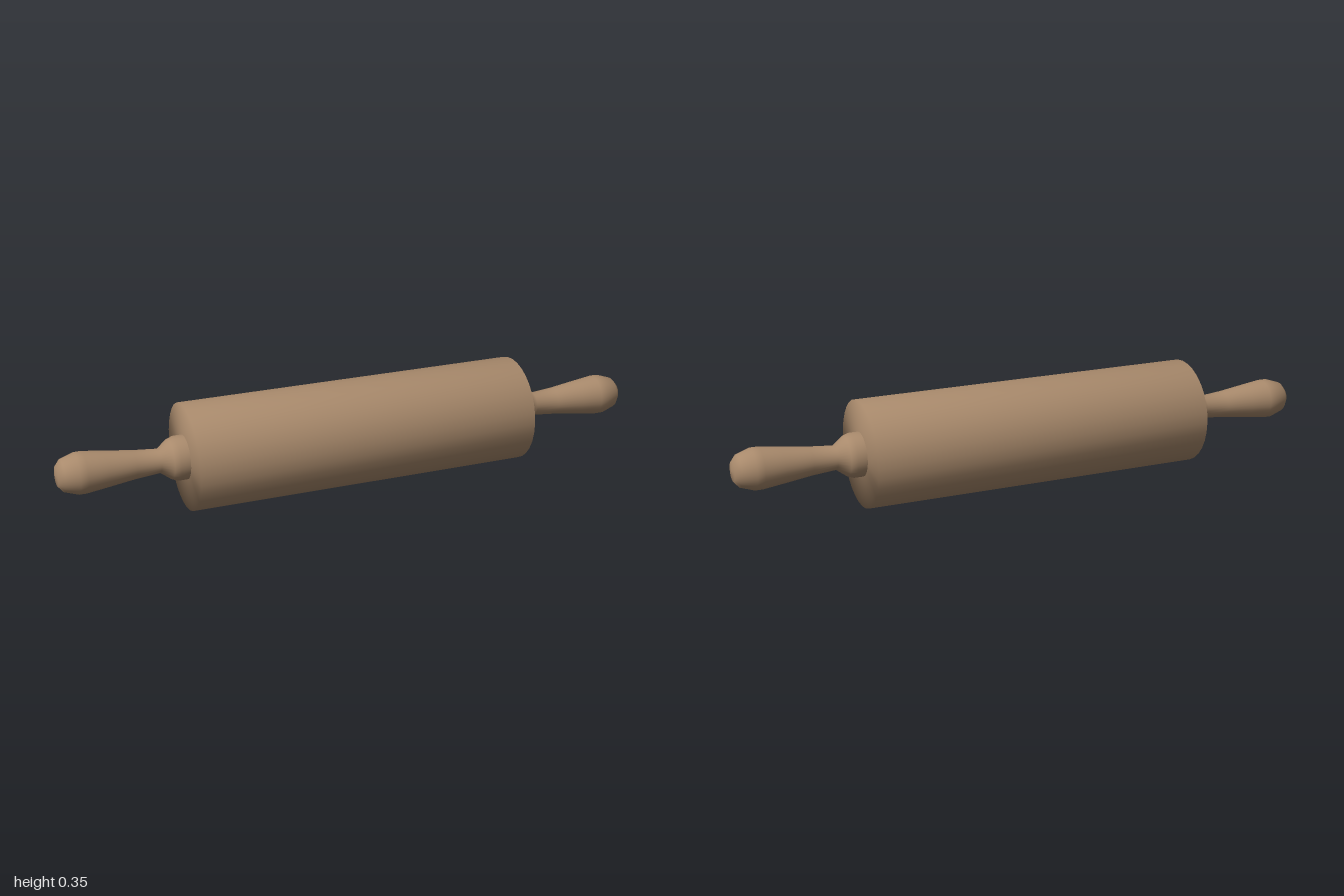
import * as THREE from 'three';

const RADIUS = 0.175;
const SIDES = 32;

// Turned part: profile of [distance along the axis, radius], laid along +x or -x
function turned(name, profile, material, side = 1) {
  const points = profile.map(([along, r]) => new THREE.Vector2(r, along));
  const geometry = new THREE.LatheGeometry(points, SIDES);
  geometry.rotateZ(-side * Math.PI / 2);
  const mesh = new THREE.Mesh(geometry, material);
  mesh.name = name;
  mesh.position.y = RADIUS;
  return mesh;
}

export function createModel() {
  const group = new THREE.Group();
  group.name = 'rollingPin';
  const wood = new THREE.MeshStandardMaterial({ color: 0xa98a6c });
  wood.name = 'wood';

  // Barrel with softly shaded ends
  group.add(turned('barrel', [
    [-0.585, 0], [-0.585, RADIUS], [0.585, RADIUS], [0.585, 0],
  ], wood));

  // Handle: collar, narrow neck, swelling grip and rounded tip
  const handle = [
    [0.58, 0.072], [0.615, 0.072], [0.635, 0.065], [0.67, 0.039],
    [0.75, 0.046], [0.84, 0.058], [0.91, 0.067], [0.935, 0.067],
    [0.98, 0.052], [0.997, 0.032], [1.0, 0],
  ];
  for (const side of [1, -1]) {
    group.add(turned(side > 0 ? 'leftHandle' : 'rightHandle', handle, wood, side));
  }
  return group;
}
